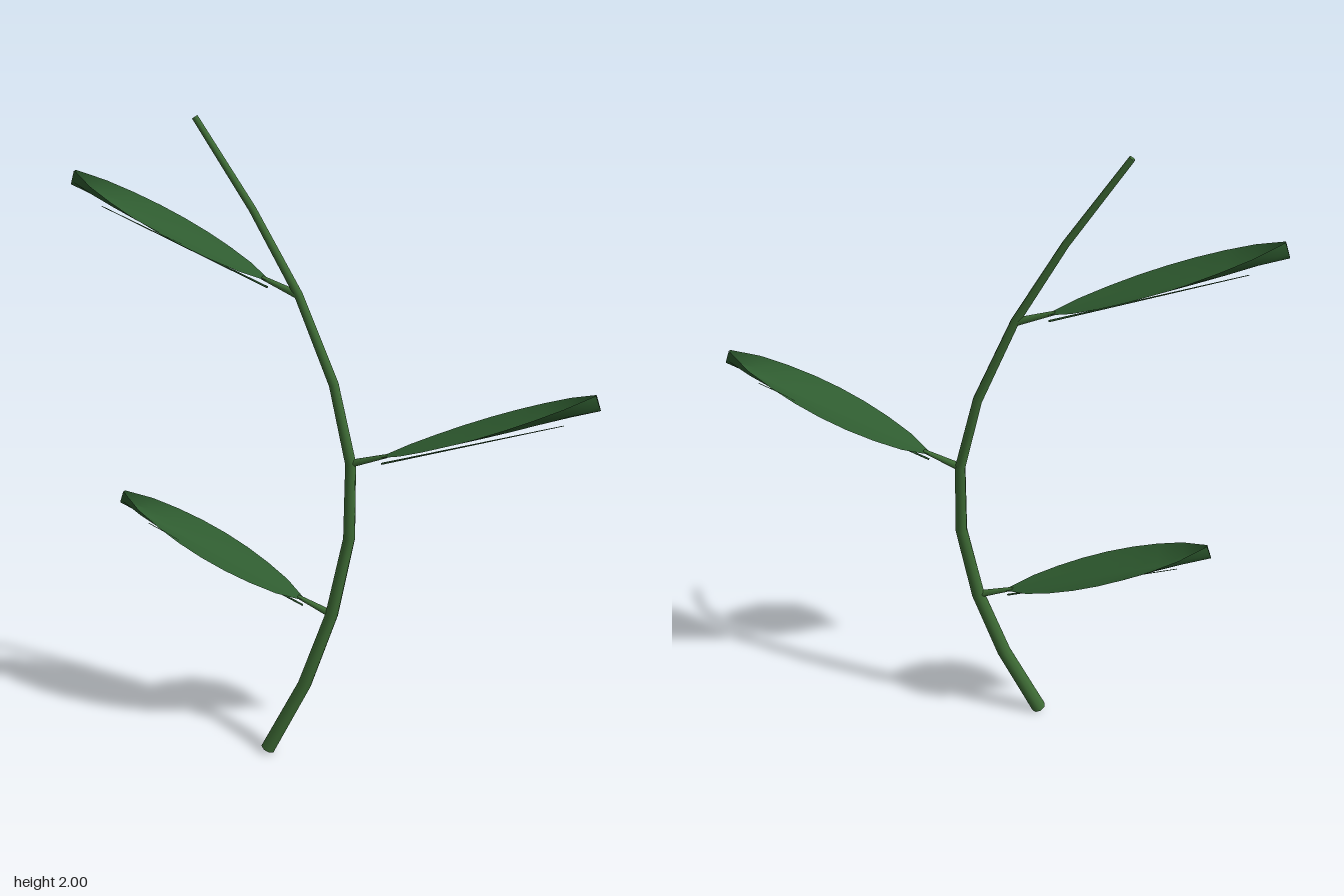
import * as THREE from 'three';

const stemGreen = new THREE.MeshStandardMaterial({ name: 'stem green', color: 0x3f6d36 });
const leafGreen = new THREE.MeshStandardMaterial({ name: 'leaf green', color: 0x2f5c30, side: THREE.DoubleSide });

const stemPoints = [
  [-0.12, 0.01, 0.15], [-0.02, 0.26, 0.083], [0.043, 0.51, 0.025],
  [0.08, 0.77, -0.012], [0.073, 1.01, -0.025], [0.02, 1.25, -0.01],
  [-0.078, 1.51, 0.03], [-0.2, 1.75, 0.085], [-0.35, 1.997, 0.15],
].map((p) => new THREE.Vector3(...p));

// Tapering tube whose rings sit exactly on the stem points
function makeStem() {
  const group = new THREE.Group();
  group.name = 'stem';
  const curve = new THREE.CatmullRomCurve3(stemPoints);
  curve.getPointAt = curve.getPoint;
  const rings = stemPoints.length - 1, sides = 8;
  const bottom = 0.024, top = 0.009;
  const geometry = new THREE.TubeGeometry(curve, rings, 1, sides);
  const pos = geometry.attributes.position;
  const v = new THREE.Vector3();
  for (let i = 0; i < pos.count; i++) {
    const ring = Math.floor(i / (sides + 1));
    const centre = stemPoints[ring];
    v.fromBufferAttribute(pos, i).sub(centre);
    v.multiplyScalar(THREE.MathUtils.lerp(bottom, top, ring / rings)).add(centre);
    pos.setXYZ(i, v.x, v.y, v.z);
  }
  geometry.computeBoundingSphere();
  const tube = new THREE.Mesh(geometry, stemGreen);
  tube.name = 'stemTube';
  group.add(tube);

  // Closed ends
  for (const [t, radius, sign] of [[0, bottom, -1], [1, top, 1]]) {
    const cap = new THREE.Mesh(new THREE.CircleGeometry(radius, sides), stemGreen);
    cap.name = sign < 0 ? 'stemBase' : 'stemTip';
    const direction = curve.getTangent(t).multiplyScalar(sign);
    cap.quaternion.setFromUnitVectors(new THREE.Vector3(0, 0, 1), direction);
    cap.position.copy(stemPoints[t * rings]);
    group.add(cap);
  }
  return group;
}

// Blade along +x: pointed outline, edges cupped up more and more towards the tip
function bladeGeometry(length, halfWidth, cup) {
  const geometry = new THREE.PlaneGeometry(1, 2, 8, 4);
  geometry.rotateX(-Math.PI / 2);
  const pos = geometry.attributes.position;
  for (let i = 0; i < pos.count; i++) {
    const t = pos.getX(i) + 0.5;
    const s = pos.getZ(i);
    const w = 0.004 + halfWidth * Math.pow(Math.max(0, Math.sin(Math.PI * t)), 0.7);
    pos.setXYZ(i, t * length, cup * t * s * s, s * w);
  }
  geometry.computeVertexNormals();
  return geometry;
}

// Thin rod along +x
function makeRod(name, start, end, y, r0, r1, material) {
  const geometry = new THREE.CylinderGeometry(r1, r0, end - start, 6);
  geometry.rotateZ(-Math.PI / 2);
  const rod = new THREE.Mesh(geometry, material);
  rod.name = name;
  rod.position.set((start + end) / 2, y, 0);
  return rod;
}

function makeLeaf(name, origin, yaw) {
  const leaf = new THREE.Group();
  leaf.name = name;
  const blade = new THREE.Mesh(bladeGeometry(0.672, 0.088, 0.046), leafGreen);
  blade.name = 'blade';
  blade.position.x = 0.095;
  leaf.add(blade);
  leaf.add(makeRod('leafStalk', 0, 0.12, 0, 0.012, 0.006, stemGreen));
  leaf.add(makeRod('midrib', 0.095, 0.655, -0.02, 0.003, 0.001, leafGreen));
  leaf.position.copy(origin);
  leaf.rotation.set(0, yaw, THREE.MathUtils.degToRad(20.2), 'YXZ');
  return leaf;
}

export function createModel() {
  const model = new THREE.Group();
  model.name = 'leafySprig';
  model.add(makeStem());
  // Leaves alternate from side to side up the stem
  const yaw = THREE.MathUtils.degToRad(19.4);
  ['lowerLeaf', 'middleLeaf', 'upperLeaf'].forEach((name, i) => {
    model.add(makeLeaf(name, stemPoints[2 + i * 2], yaw + (i % 2 ? 0 : Math.PI)));
  });
  return model;
}
